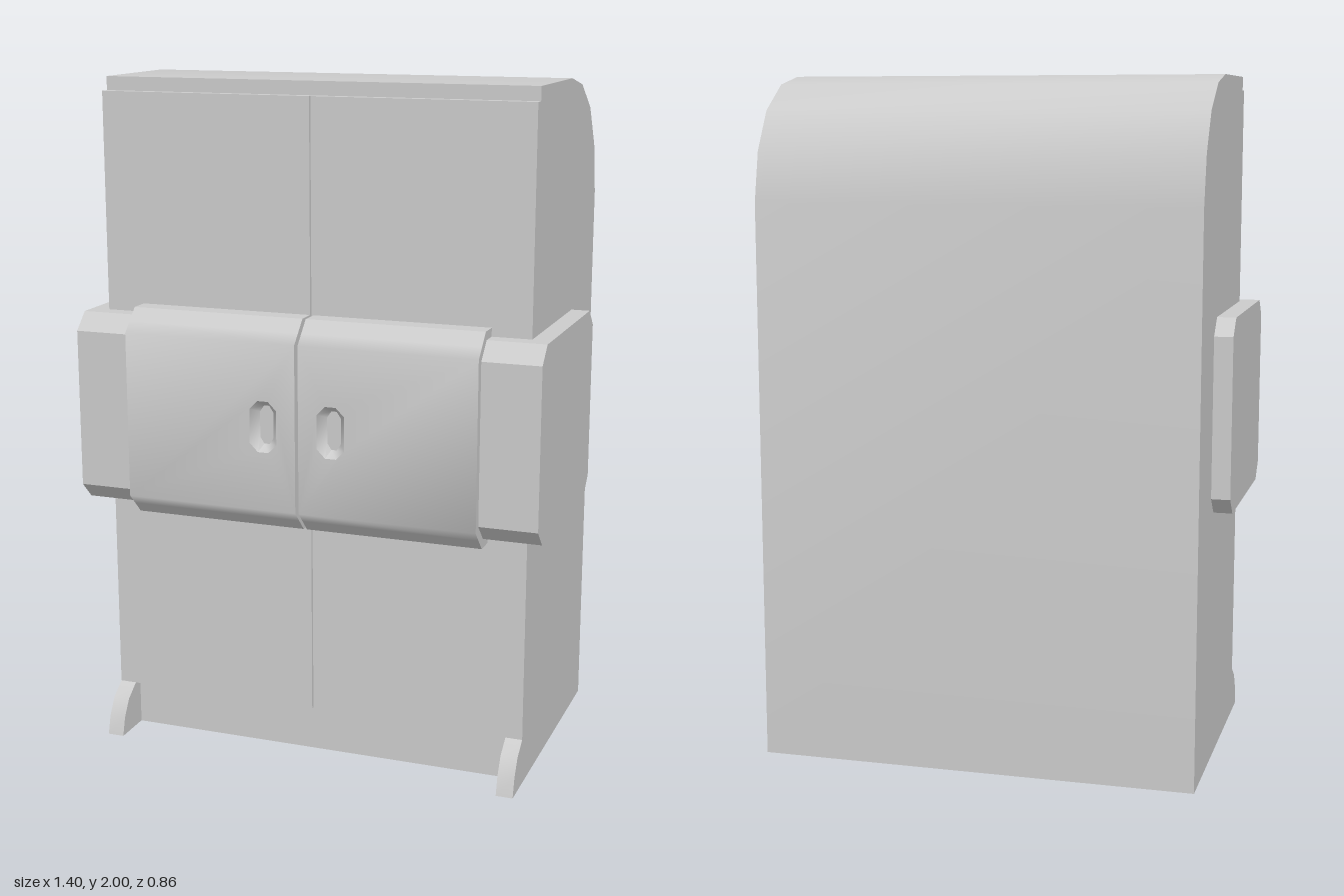
import * as THREE from 'three';
import { toCreasedNormals } from 'three/addons/utils/BufferGeometryUtils.js';

const material = new THREE.MeshStandardMaterial({ color: 0xcccccc });
const vec = ([x, y]) => new THREE.Vector2(x, y);

// Extrudes a side profile of [z, y] points from x0 to x1
function profileAlongX(points, x0, x1) {
  const geo = new THREE.ExtrudeGeometry(new THREE.Shape(points.map(vec)), { depth: x1 - x0, bevelEnabled: false });
  geo.rotateY(-Math.PI / 2).translate(x1, 0, 0);
  return toCreasedNormals(geo, 0.5);
}

// Corner-cut rectangle as a list of points
function octagon(x0, x1, y0, y1, c) {
  return [
    [x0 + c, y0], [x1 - c, y0], [x1, y0 + c], [x1, y1 - c],
    [x1 - c, y1], [x0 + c, y1], [x0, y1 - c], [x0, y0 + c],
  ];
}

// Front plate with a scooped grip hole; its back edge widens to continue the chamfer
function gripPlate(x0, x1, y0, y1, zBack, zFront) {
  const shape = new THREE.Shape([[x0, y0], [x1, y0], [x1, y1], [x0, y1]].map(vec));
  const cx = (x0 < 0 ? -1 : 1) * 0.1025, cy = 1.037, depth = zFront - zBack;
  shape.holes.push(new THREE.Path(octagon(cx - 0.041, cx + 0.041, cy - 0.075, cy + 0.075, 0.025).map(vec)));
  const geo = new THREE.ExtrudeGeometry(shape, { depth, bevelEnabled: false });
  const p = geo.attributes.position;
  for (let i = 0; i < p.count; i++) {
    if (p.getZ(i) > depth / 2) continue;
    const x = p.getX(i), y = p.getY(i);
    if (y < y0 + 0.01) p.setY(i, y - depth);
    else if (y > y1 - 0.01) p.setY(i, y + depth);
    else p.setXY(i, cx + (x - cx) * 0.5, cy + (y - cy) * 0.75);
  }
  geo.translate(0, 0, zBack);
  return toCreasedNormals(geo, 0.8);
}

export function createModel() {
  const group = new THREE.Group();
  const add = (name, geometry) => {
    const mesh = new THREE.Mesh(geometry, material);
    mesh.name = name;
    group.add(mesh);
  };
  const W = 0.645, GAP = 0.005;

  // Cabinet body with a rounded rear top and a recessed plinth
  add('cabinetBody', profileAlongX([
    [-0.43, 0], [0.275, 0], [0.275, 0.14], [0.295, 0.14], [0.295, 1.96], [0.275, 1.96], [0.275, 2],
    [-0.085, 2], [-0.215, 1.975], [-0.33, 1.9], [-0.4, 1.785], [-0.43, 1.64],
  ], -W, W));

  for (const [s, side] of [[1, 'left'], [-1, 'right']]) {
    // Mirrors an x interval onto this side
    const span = (a, b) => (s > 0 ? [a, b] : [-b, -a]);

    // Tall door leaf
    add(side + 'Door', profileAlongX([[0.29, 0.14], [0.305, 0.14], [0.305, 1.96], [0.29, 1.96]], ...span(GAP, W)));

    // Chamfered band across the door, with a grip recess in its front plate
    const band = span(GAP, 0.53);
    add(side + 'DoorBand', profileAlongX([
      [0.3, 0.725], [0.365, 0.725], [0.4, 0.76], [0.4, 1.31], [0.365, 1.345], [0.3, 1.345],
    ], ...band));
    add(side + 'GripPlate', gripPlate(...band, 0.79, 1.28, 0.4, 0.43));

    // Side block wrapping around the front corner
    add(side + 'SideBlock', profileAlongX(octagon(-0.21, 0.405, 0.752, 1.32, 0.05), ...span(0.53, 0.7)));

    // Curved foot
    add(side + 'Foot', profileAlongX([
      [0.27, 0], [0.4, 0], [0.385, 0.055], [0.355, 0.105], [0.305, 0.14], [0.27, 0.14],
    ], ...span(0.595, W)));
  }
  return group;
}
